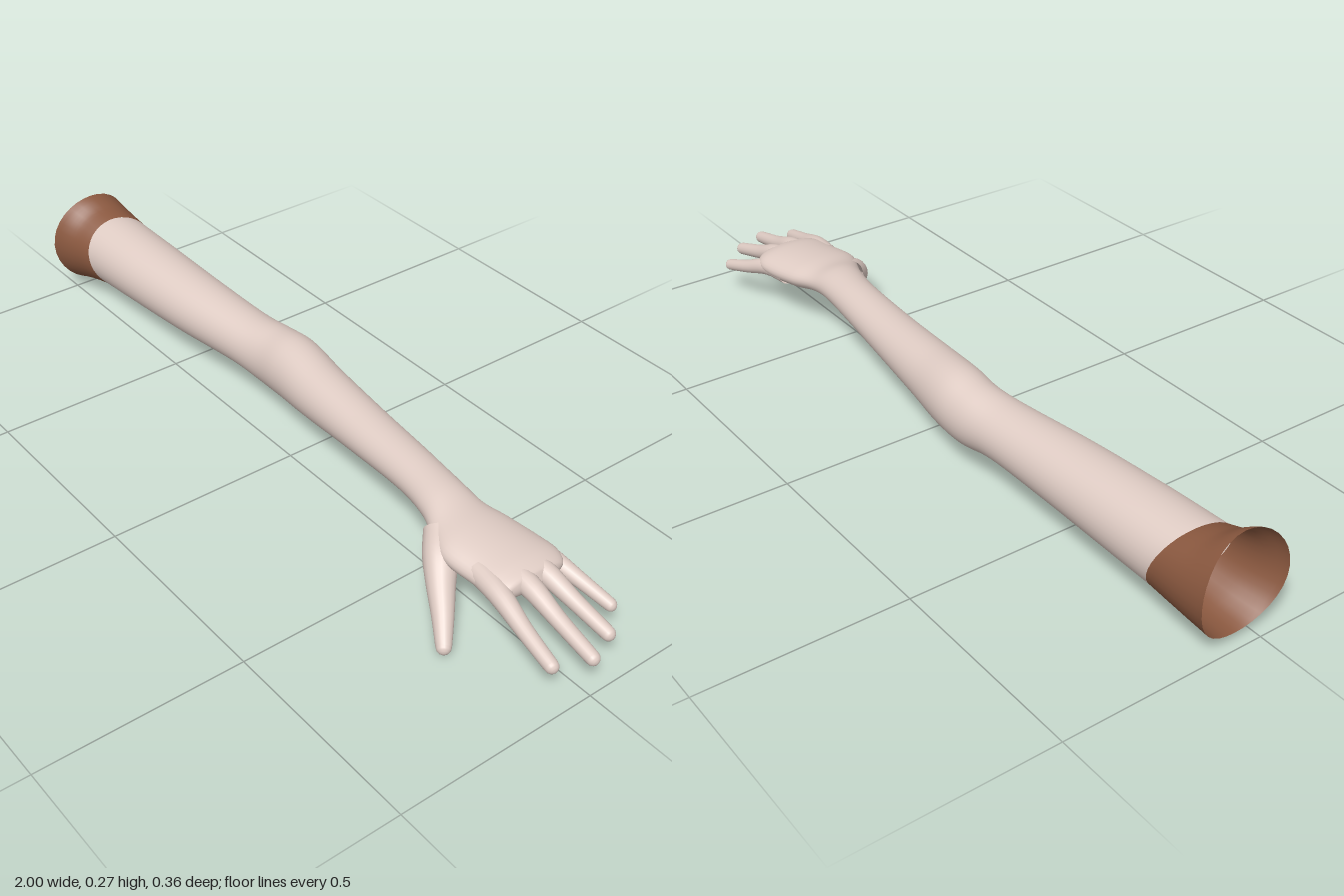
import * as THREE from 'three';

const skin = new THREE.MeshStandardMaterial({ color: 0xdfccc4, side: THREE.DoubleSide });
skin.name = 'skin';
const cloth = new THREE.MeshStandardMaterial({ color: 0x8a583f, side: THREE.DoubleSide });
cloth.name = 'brownCloth';

// Smooth tube through elliptical sections { c: centre, u: upright radius, s: sideways radius },
// all square to one direction; warp may shift each vertex.
function loft(name, material, sections, dir, steps, sides, warp) {
  const side = new THREE.Vector3().crossVectors(dir, new THREE.Vector3(0, 1, 0)).normalize();
  const up = new THREE.Vector3().crossVectors(side, dir).normalize();
  const centres = new THREE.CatmullRomCurve3(sections.map(k => k.c));
  const radii = new THREE.CatmullRomCurve3(
    sections.map((k, i) => new THREE.Vector3(k.u, k.s, i * 0.05)));
  const positions = [], index = [];
  const rings = (sections.length - 1) * steps;
  for (let i = 0; i <= rings; i++) {
    const c = centres.getPoint(i / rings), r = radii.getPoint(i / rings);
    for (let j = 0; j < sides; j++) {
      const a = (j / sides) * Math.PI * 2;
      const p = c.clone()
        .addScaledVector(up, Math.cos(a) * Math.max(r.x, 0))
        .addScaledVector(side, Math.sin(a) * Math.max(r.y, 0));
      if (warp) warp(p, Math.cos(a), Math.sin(a));
      positions.push(p.x, p.y, p.z);
      if (i < rings) {
        const n = (j + 1) % sides, A = i * sides + j, B = i * sides + n;
        index.push(A, B, A + sides, B, B + sides, A + sides);
      }
    }
  }
  const g = new THREE.BufferGeometry();
  g.setAttribute('position', new THREE.Float32BufferAttribute(positions, 3));
  g.setIndex(index);
  g.computeVertexNormals();
  const mesh = new THREE.Mesh(g, material);
  mesh.name = name;
  return mesh;
}

// Section along the arm from its extents: x, bottom, top, back, front
const span = ([x, y0, y1, z0, z1]) => ({
  c: new THREE.Vector3(x, (y0 + y1) / 2, (z0 + z1) / 2), u: (y1 - y0) / 2, s: (z1 - z0) / 2,
});

// Finger from joints [x, y, z, radius] with a rounded tip
function digit(name, joints) {
  const pts = joints.map(j => new THREE.Vector3(j[0], j[1], j[2]));
  const last = pts.length - 1;
  const dir = pts[last].clone().sub(pts[0]).normalize();
  const tipDir = pts[last].clone().sub(pts[last - 1]).normalize();
  const sections = joints.map((j, i) => ({ c: pts[i], u: j[3], s: j[3] }));
  const r = joints[last][3];
  for (const a of [0.5, 0.95, 1.3, Math.PI / 2]) {
    const k = a > 1.5 ? 0 : r * Math.cos(a);
    sections.push({ c: pts[last].clone().addScaledVector(tipDir, r * Math.sin(a)), u: k, s: k });
  }
  return loft(name, skin, sections, dir, 4, 20);
}

export function createModel() {
  const model = new THREE.Group();
  model.name = 'arm';
  const along = new THREE.Vector3(1, 0, 0);

  // Slanted seam where sleeve meets skin, and curved open rim of the sleeve
  const seam = (p, ny, nz) => {
    const w = Math.max(0, 1 - Math.abs(p.x + 0.86) / 0.12);
    const rim = Math.max(0, 1 - (p.x + 1) / 0.08);
    p.x += -w * (0.03 * ny + 0.015 * nz) + (p.x < -0.9 ? rim * 0.018 * ny * ny : 0);
  };

  const cuff = [-0.86, 0.061, 0.244, -0.171, 0.024];
  model.add(loft('sleeve', cloth, [
    [-1, 0.03, 0.28, -0.172, 0.06],
    [-0.93, 0.046, 0.258, -0.172, 0.038],
    cuff,
  ].map(span), along, 5, 32, seam));

  // Upper arm, elbow, forearm, wrist and palm in one skin
  model.add(loft('armAndPalm', skin, [
    cuff,
    [-0.7, 0.067, 0.238, -0.171, 0.015],
    [-0.5, 0.075, 0.23, -0.17, 0],
    [-0.3, 0.082, 0.222, -0.173, -0.024],
    [-0.2, 0.07, 0.228, -0.182, -0.035],
    [-0.12, 0.073, 0.236, -0.182, -0.031],
    [0, 0.085, 0.226, -0.165, -0.022],
    [0.2, 0.105, 0.216, -0.14, -0.013],
    [0.4, 0.12, 0.213, -0.115, 0],
    [0.5, 0.122, 0.208, -0.105, 0.022],
    [0.56, 0.116, 0.195, -0.108, 0.048],
    [0.62, 0.104, 0.19, -0.126, 0.072],
    [0.7, 0.098, 0.183, -0.14, 0.066],
    [0.75, 0.103, 0.177, -0.142, 0.062],
    [0.785, 0.118, 0.165, -0.12, 0.045],
    [0.797, 0.14, 0.14, -0.04, -0.04],
  ].map(span), along, 6, 40, seam));

  // Fingers
  const fingers = {
    indexFinger: [[0.69, 0.142, 0.033], [0.77, 0.137, 0.046], [0.86, 0.113, 0.06], [0.949, 0.09, 0.07]],
    middleFinger: [[0.69, 0.147, -0.018], [0.79, 0.143, -0.017], [0.88, 0.117, -0.014], [0.984, 0.092, -0.01]],
    ringFinger: [[0.69, 0.147, -0.068], [0.78, 0.142, -0.073], [0.86, 0.117, -0.08], [0.953, 0.091, -0.087]],
    littleFinger: [[0.67, 0.137, -0.106], [0.74, 0.134, -0.121], [0.82, 0.108, -0.143], [0.893, 0.087, -0.157]],
  };
  const girth = [0.029, 0.025, 0.019, 0.016];
  for (const [name, joints] of Object.entries(fingers)) {
    model.add(digit(name, joints.map((j, i) => [...j, girth[i] * (name === 'littleFinger' ? 0.92 : 1)])));
  }

  // Thumb, thick where it grows out of the palm
  model.add(digit('thumb', [
    [0.55, 0.15, 0.015, 0.036],
    [0.595, 0.125, 0.052, 0.039],
    [0.64, 0.092, 0.088, 0.032],
    [0.69, 0.055, 0.124, 0.024],
    [0.73, 0.023, 0.155, 0.0175],
  ]));

  return model;
}
